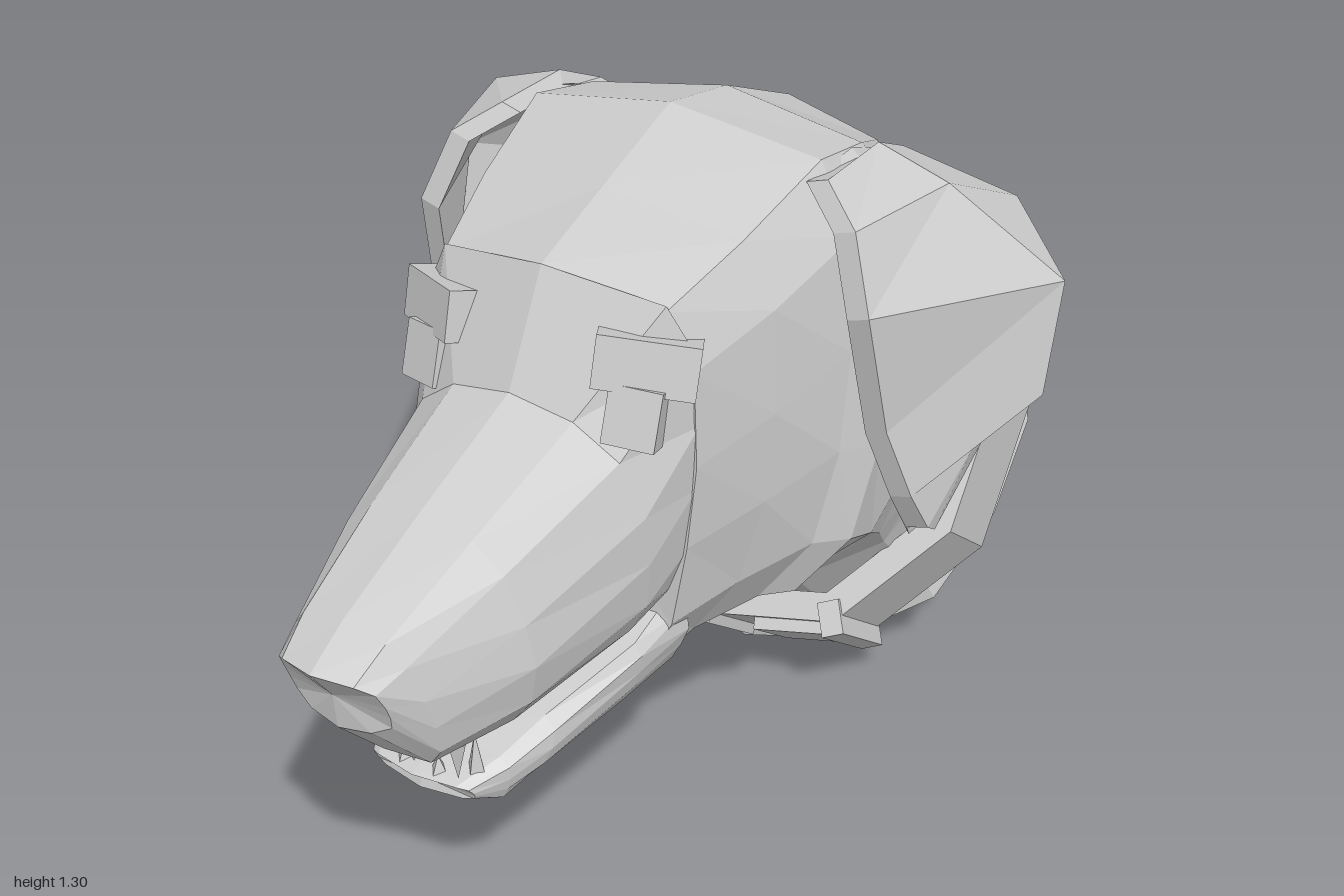
import * as THREE from 'three';

const material = new THREE.MeshStandardMaterial({ color: 0xcccccc, flatShading: true });

// Closed skin over a list of rings of [x, y, z] points, capped at both ends
function loft(rings) {
  const n = rings[0].length, pos = rings.flat(2), index = [];
  for (let r = 0; r < rings.length - 1; r++) {
    for (let k = 0; k < n; k++) {
      const i = r * n + k, j = r * n + (k + 1) % n;
      index.push(i, i + n, j, j, i + n, j + n);
    }
  }
  [0, rings.length - 1].forEach((r) => {
    const c = pos.length / 3;
    for (let a = 0; a < 3; a++) pos.push(rings[r].reduce((s, p) => s + p[a], 0) / n);
    for (let k = 0; k < n; k++) {
      const i = r * n + k, j = r * n + (k + 1) % n;
      index.push(...(r === 0 ? [i, j, c] : [j, i, c]));
    }
  });
  const g = new THREE.BufferGeometry();
  g.setAttribute('position', new THREE.Float32BufferAttribute(pos, 3));
  g.setIndex(index);
  const flat = g.toNonIndexed();
  flat.computeVertexNormals();
  return flat;
}

// Mirrored ring between a top and a bottom point [z, y], with half widths on the way down
const STEPS = [0, 0.05, 0.18, 0.4, 0.6, 0.8, 0.94, 1];
function ring([top, bottom, widths, bow = 0]) {
  const half = widths.map((x, i) => {
    const t = STEPS[i];
    return [x, top[1] + (bottom[1] - top[1]) * t, top[0] + (bottom[0] - top[0]) * t - bow * x * x];
  });
  const other = half.slice(1, -1).reverse().map(([x, y, z]) => [-x, y, z]);
  return [...half, ...other];
}

function add(parent, name, geometry, position = [0, 0, 0], rotation = [0, 0, 0]) {
  const mesh = new THREE.Mesh(geometry, material);
  mesh.name = name;
  mesh.position.set(...position);
  mesh.rotation.set(...rotation);
  parent.add(mesh);
  return mesh;
}

export function createModel() {
  const model = new THREE.Group();
  model.name = 'dogHead';

  // Neck and skull, from the slanted neck cut to the brow
  add(model, 'neckAndSkull', loft([
    [[-0.99, 0.77], [-0.31, 0], [0, 0.19, 0.34, 0.43, 0.43, 0.37, 0.21, 0]],
    [[-0.91, 0.78], [-0.3, 0.08], [0, 0.18, 0.32, 0.4, 0.4, 0.34, 0.2, 0]],
    [[-0.69, 0.94], [-0.14, 0.25], [0, 0.17, 0.3, 0.4, 0.41, 0.34, 0.19, 0]],
    [[-0.65, 1.01], [-0.07, 0.31], [0, 0.16, 0.29, 0.4, 0.42, 0.36, 0.2, 0]],
    [[-0.43, 1.18], [0, 0.35], [0, 0.2, 0.34, 0.42, 0.44, 0.39, 0.26, 0]],
    [[-0.2, 1.27], [0.07, 0.385], [0, 0.28, 0.38, 0.42, 0.42, 0.4, 0.31, 0]],
    [[-0.01, 1.3], [0.12, 0.38], [0, 0.29, 0.36, 0.38, 0.38, 0.35, 0.26, 0], 0.2],
    [[0.2, 1.22], [0.24, 0.365], [0, 0.26, 0.32, 0.33, 0.32, 0.28, 0.2, 0], 0.3],
    [[0.38, 1.15], [0.38, 0.35], [0, 0.22, 0.265, 0.27, 0.255, 0.23, 0.18, 0], 0.6],
  ].map(ring)));

  // Muzzle with the upper lip and the nose
  add(model, 'muzzle', loft([
    [[0.38, 1.15], [0.36, 0.54], [0, 0.22, 0.265, 0.27, 0.265, 0.25, 0.22, 0], 0.6],
    [[0.48, 0.96], [0.45, 0.51], [0, 0.12, 0.2, 0.24, 0.245, 0.235, 0.2, 0], 0.4],
    [[0.72, 0.86], [0.7, 0.48], [0, 0.1, 0.155, 0.19, 0.205, 0.19, 0.15, 0]],
    [[0.92, 0.77], [0.85, 0.48], [0, 0.08, 0.11, 0.13, 0.135, 0.13, 0.1, 0]],
    [[1, 0.72], [0.95, 0.59], [0, 0.07, 0.095, 0.1, 0.1, 0.095, 0.06, 0], 3],
  ].map(ring)));

  // Lower jaw
  add(model, 'lowerJaw', loft([
    [[0.3, 0.55], [0.3, 0.36], [0, 0.2, 0.23, 0.235, 0.22, 0.2, 0.17, 0]],
    [[0.42, 0.51], [0.42, 0.345], [0, 0.2, 0.215, 0.21, 0.2, 0.18, 0.15, 0]],
    [[0.6, 0.45], [0.65, 0.31], [0, 0.14, 0.165, 0.165, 0.155, 0.13, 0.1, 0]],
    [[0.7, 0.415], [0.7, 0.305], [0, 0.115, 0.135, 0.135, 0.13, 0.12, 0.09, 0]],
    [[0.79, 0.385], [0.77, 0.345], [0, 0.08, 0.1, 0.105, 0.105, 0.1, 0.08, 0], 2],
  ].map(ring)));

  // Teeth: [x, y, z, height, points down]
  const teeth = new THREE.Group();
  teeth.name = 'teeth';
  model.add(teeth);
  [
    [0.09, 0.425, 0.73, 0.09, false], [0.035, 0.4, 0.76, 0.04, false],
    [0.1, 0.46, 0.79, 0.08, true], [0.035, 0.47, 0.82, 0.04, true],
  ].forEach(([x, y, z, h, down]) => {
    for (const s of [-1, 1]) {
      add(teeth, 'tooth', new THREE.ConeGeometry(0.02, h, 4), [s * x, y, z], [down ? Math.PI : 0, 0, 0]);
    }
  });

  // Folded ears: rows of front, ridge and back points, thickened inwards
  const earRows = [
    [[0.33, 1.245, 0.03], [0.33, 1.25, -0.15], [0.32, 1.2, -0.27]],
    [[0.41, 1.19, 0.08], [0.47, 1.21, -0.14], [0.5, 1.11, -0.37]],
    [[0.46, 1.06, 0.115], [0.65, 1.03, -0.25], [0.59, 1.0, -0.33]],
    [[0.48, 0.83, 0.065], [0.65, 0.83, -0.2], [0.59, 0.82, -0.24]],
    [[0.52, 0.7, 0.035], [0.57, 0.75, -0.1], [0.56, 0.73, -0.17]],
    [[0.54, 0.625, 0], [0.54, 0.605, -0.03], [0.53, 0.63, -0.085]],
  ];
  for (const s of [1, -1]) {
    const rings = earRows.map((row) => {
      const inner = row.map(([x, y, z], i) => [x - 0.04, y - 0.012, z + (i === 1 ? 0.02 : 0)]).reverse();
      const loop = [...row, ...inner].map(([x, y, z]) => [s * x, y, z]);
      return s > 0 ? loop : loop.reverse();
    });
    add(model, s > 0 ? 'leftEar' : 'rightEar', loft(rings));

    // Brow ridge and eye
    add(model, 'brow', new THREE.BoxGeometry(0.17, 0.09, 0.08), [s * 0.2, 1.025, 0.375], [-0.25, s * 0.5, 0]);
    add(model, 'eye', new THREE.BoxGeometry(0.09, 0.1, 0.08), [s * 0.2, 0.945, 0.405], [-0.3, s * 0.3, 0]);
  }

  // Collar, built upright and tilted onto the neck
  const collar = new THREE.Group();
  collar.name = 'collar';
  collar.position.set(0, 0.385, -0.65);
  collar.rotation.x = -0.65;
  model.add(collar);
  const side = [[0, 0.477], [0.28, 0.45], [0.45, 0.2], [0.45, -0.18], [0.28, -0.42], [0, -0.49]];
  const outline = [...side, ...side.slice(1, -1).reverse().map(([x, y]) => [-x, y])];
  const loop = (k) => outline.map(([x, y]) => new THREE.Vector2(x * k, y * k));
  const band = new THREE.Shape(loop(1));
  band.holes.push(new THREE.Path(loop(0.88)));
  add(collar, 'collarBand', new THREE.ExtrudeGeometry(band, { depth: 0.21, bevelEnabled: false }), [0, 0, 0.075]);

  // Buckle, strap end and keeper at the throat
  add(collar, 'buckle', new THREE.BoxGeometry(0.06, 0.06, 0.23), [0, -0.475, 0.18]);
  add(collar, 'strapEnd', new THREE.BoxGeometry(0.18, 0.03, 0.18), [0.2, -0.45, 0.18], [0, 0, 0.25]);
  add(collar, 'keeper', new THREE.BoxGeometry(0.045, 0.07, 0.23), [0.275, -0.415, 0.18], [0, 0, 0.5]);

  return model;
}
